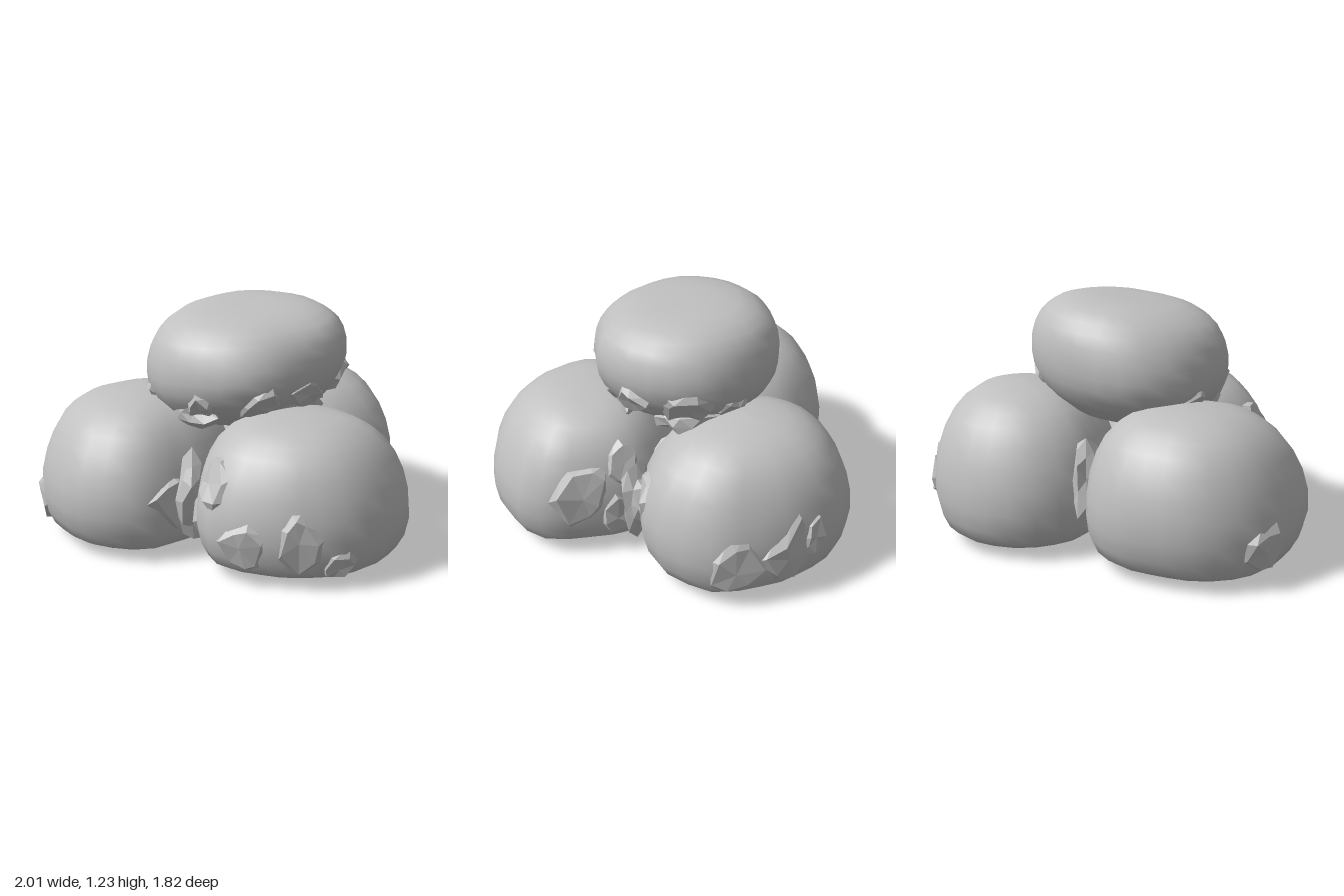
import * as THREE from 'three';

const SEG = 26, RINGS = 16;

// Heights and relative widths of a settled boulder, from underside to crown
const basePro = [[0, 0.005], [0.45, 0.015], [0.77, 0.045], [0.92, 0.1], [1, 0.26], [0.95, 0.45],
  [0.81, 0.61], [0.61, 0.71], [0.34, 0.76], [0, 0.77]];
const topPro = [[0, 0.59], [0.36, 0.62], [0.66, 0.68], [0.88, 0.77], [0.99, 0.87], [1, 0.98],
  [0.93, 1.09], [0.78, 1.17], [0.5, 1.22], [0, 1.225]];

// c: centre in x and z, plan: radii every 30 degrees from +x towards +z,
// rise: added crown height, tilt: slope of the whole along x and z,
// crown: extra slope of the upper half, lean: sideways shift of the crown
const rocks = [
  { name: 'frontBoulder', c: [-0.02, 0.4], pro: basePro, seed: 1,
    rise: -0.01, tilt: [0, 0], crown: [0, -0.02], lean: [0.02, -0.03],
    plan: [0.52, 0.57, 0.52, 0.5, 0.47, 0.48, 0.54, 0.52, 0.5, 0.5, 0.5, 0.53] },
  { name: 'leftBoulder', c: [0.48, -0.4], pro: basePro, seed: 2,
    rise: 0.03, tilt: [0, 0], crown: [0, -0.03], lean: [0.01, 0.01],
    plan: [0.49, 0.58, 0.61, 0.56, 0.51, 0.5, 0.47, 0.52, 0.53, 0.52, 0.5, 0.47] },
  { name: 'rightBoulder', c: [-0.47, -0.42], pro: basePro, seed: 3,
    rise: 0.01, tilt: [0, 0], crown: [0.02, 0], lean: [0.03, -0.02],
    plan: [0.48, 0.5, 0.5, 0.5, 0.57, 0.56, 0.52, 0.53, 0.52, 0.5, 0.53, 0.54] },
  { name: 'topBoulder', c: [0.02, -0.13], pro: topPro, seed: 4,
    rise: 0, tilt: [0.08, 0.05], crown: [-0.02, -0.11], lean: [0.02, -0.01],
    plan: [0.52, 0.53, 0.52, 0.47, 0.49, 0.5, 0.53, 0.52, 0.5, 0.47, 0.48, 0.49] },
];
for (const r of rocks) {
  r.curve = new THREE.CatmullRomCurve3(r.pro.map(([w, y]) => new THREE.Vector3(w, y, 0)));
}

// Point on a boulder: a is the angle in degrees, t runs from underside to crown
function surface(rock, a, t) {
  const k = (((a % 360) + 360) % 360) / 30, i = Math.floor(k), f = k - i;
  const s = f * f * (3 - 2 * f);
  const rad = rock.plan[i % 12] * (1 - s) + rock.plan[(i + 1) % 12] * s;
  const p = rock.curve.getPoint(t), q = THREE.MathUtils.degToRad(a);
  const lump = 1 + 0.02 * Math.sin(3 * q + rock.seed * 2) * Math.sin(t * 9 + rock.seed);
  const w = Math.max(p.x, 0) * rad * lump;
  const x = w * Math.cos(q), z = w * Math.sin(q);
  const up = Math.max(0, t - 0.45) * 1.8;
  const { rise, tilt, crown, lean } = rock;
  const y = p.y + tilt[0] * x + tilt[1] * z + up * (rise + crown[0] * x + crown[1] * z);
  return new THREE.Vector3(rock.c[0] + x + up * lean[0], y, rock.c[1] + z + up * lean[1]);
}

// Smooth closed skin lofted through rings
function boulderGeometry(rock) {
  const pos = [], idx = [];
  for (let j = 0; j <= RINGS; j++) {
    for (let i = 0; i < SEG; i++) pos.push(...surface(rock, (i * 360) / SEG, j / RINGS).toArray());
  }
  for (let j = 0; j < RINGS; j++) {
    for (let i = 0; i < SEG; i++) {
      const n = (i + 1) % SEG, a = j * SEG + i, b = j * SEG + n, c = a + SEG, d = b + SEG;
      if (j < RINGS - 1) idx.push(a, c, d);
      else idx.push(a, c, b);
      if (j > 0 && j < RINGS - 1) idx.push(a, d, b);
    }
  }
  const g = new THREE.BufferGeometry();
  g.setAttribute('position', new THREE.Float32BufferAttribute(pos, 3));
  g.setIndex(idx);
  g.computeVertexNormals();
  return g;
}

function seeded(s) {
  return () => {
    s = (s * 16807) % 2147483647;
    return s / 2147483647;
  };
}

// Broken chunk: an irregular faceted scab with its rim sunk into the boulder
function cragGeometry(rock, a, t, size, seed) {
  const rnd = seeded(seed * 977 + 13), n = 7, turn = seed * 1.7;
  rnd();
  const mid = surface(rock, a, t);
  const du = surface(rock, a + 4, t).sub(surface(rock, a - 4, t));
  const dv = surface(rock, a, t + 0.03).sub(surface(rock, a, t - 0.03));
  const out = new THREE.Vector3().crossVectors(dv, du).normalize();
  const at = (q, r, h) => surface(rock, a + r * Math.cos(q) * 115, t + r * Math.sin(q) * 0.85)
    .addScaledVector(out, h);
  const rim = [], ridge = [], pts = [];
  for (let i = 0; i < n; i++) {
    const q = turn + ((i + 0.6 * rnd()) / n) * Math.PI * 2, r = size * (0.6 + 0.5 * rnd());
    rim.push(at(q, r, -0.02));
    ridge.push(at(q + 0.2, r * (0.6 + 0.3 * rnd()), 0.003 + 0.025 * rnd()));
  }
  mid.addScaledVector(out, 0.008);
  for (let i = 0; i < n; i++) {
    const k = (i + 1) % n;
    pts.push(mid, ridge[k], ridge[i], ridge[i], ridge[k], rim[k], ridge[i], rim[k], rim[i]);
  }
  const g = new THREE.BufferGeometry().setFromPoints(pts);
  g.computeVertexNormals();
  return g;
}

// Angular filler stone wedged in a crevice
function rubbleGeometry(size, seed) {
  const g = new THREE.IcosahedronGeometry(1, 1), p = g.attributes.position;
  for (let i = 0; i < p.count; i++) {
    const v = new THREE.Vector3().fromBufferAttribute(p, i);
    v.multiplyScalar(1 + 0.2 * Math.sin(5 * v.x + 7 * v.y + 9 * v.z + seed));
    p.setXYZ(i, v.x * size[0], v.y * size[1], v.z * size[2]);
  }
  g.computeVertexNormals();
  return g;
}

// boulder index, angle, height along the profile, size
const crags = [
  [0, 125, 0.45, 0.18], [0, 100, 0.35, 0.12], [0, 160, 0.42, 0.14], [0, 185, 0.58, 0.13],
  [0, 5, 0.5, 0.16], [0, 345, 0.42, 0.13], [0, 340, 0.6, 0.13], [0, 210, 0.45, 0.13],
  [1, 15, 0.42, 0.15], [1, 345, 0.44, 0.17], [1, 325, 0.48, 0.1],
  [1, 80, 0.54, 0.13], [1, 95, 0.4, 0.15], [1, 115, 0.55, 0.13],
  [2, 100, 0.48, 0.13], [2, 80, 0.38, 0.14], [2, 62, 0.52, 0.13], [2, 205, 0.4, 0.13],
  [3, 115, 0.36, 0.14], [3, 78, 0.36, 0.15], [3, 40, 0.38, 0.13], [3, 5, 0.37, 0.16],
  [3, 335, 0.34, 0.12], [3, 155, 0.35, 0.12], [3, 205, 0.38, 0.1],
];

// position and half sizes of the crevice stones
const rubble = [
  [[0.02, 0.36, -0.61], [0.08, 0.22, 0.1]],
  [[-0.47, 0.34, 0.12], [0.09, 0.22, 0.08]],
  [[0.49, 0.34, 0.17], [0.08, 0.2, 0.08]],
  [[0.02, 0.72, 0.2], [0.22, 0.1, 0.07]],
  [[0.38, 0.75, -0.1], [0.12, 0.08, 0.16]],
  [[-0.33, 0.73, -0.05], [0.1, 0.08, 0.16]],
];

export function createModel() {
  const stone = new THREE.MeshStandardMaterial({ color: 0xc0c0c0 });
  stone.name = 'grey stone';
  stone.side = THREE.DoubleSide;

  const model = new THREE.Group();
  model.name = 'boulderPile';
  const add = (parent, name, geometry) => {
    const mesh = new THREE.Mesh(geometry, stone);
    mesh.name = name;
    parent.add(mesh);
    return mesh;
  };
  const groups = rocks.map((rock) => {
    const g = new THREE.Group();
    g.name = rock.name;
    add(g, rock.name + 'Body', boulderGeometry(rock));
    model.add(g);
    return g;
  });
  crags.forEach(([k, a, t, size], i) => {
    add(groups[k], 'brokenPatch', cragGeometry(rocks[k], a, t, size, i + 1));
  });
  rubble.forEach(([at, size], i) => {
    add(model, 'creviceStone', rubbleGeometry(size, i)).position.set(...at);
  });
  return model;
}
